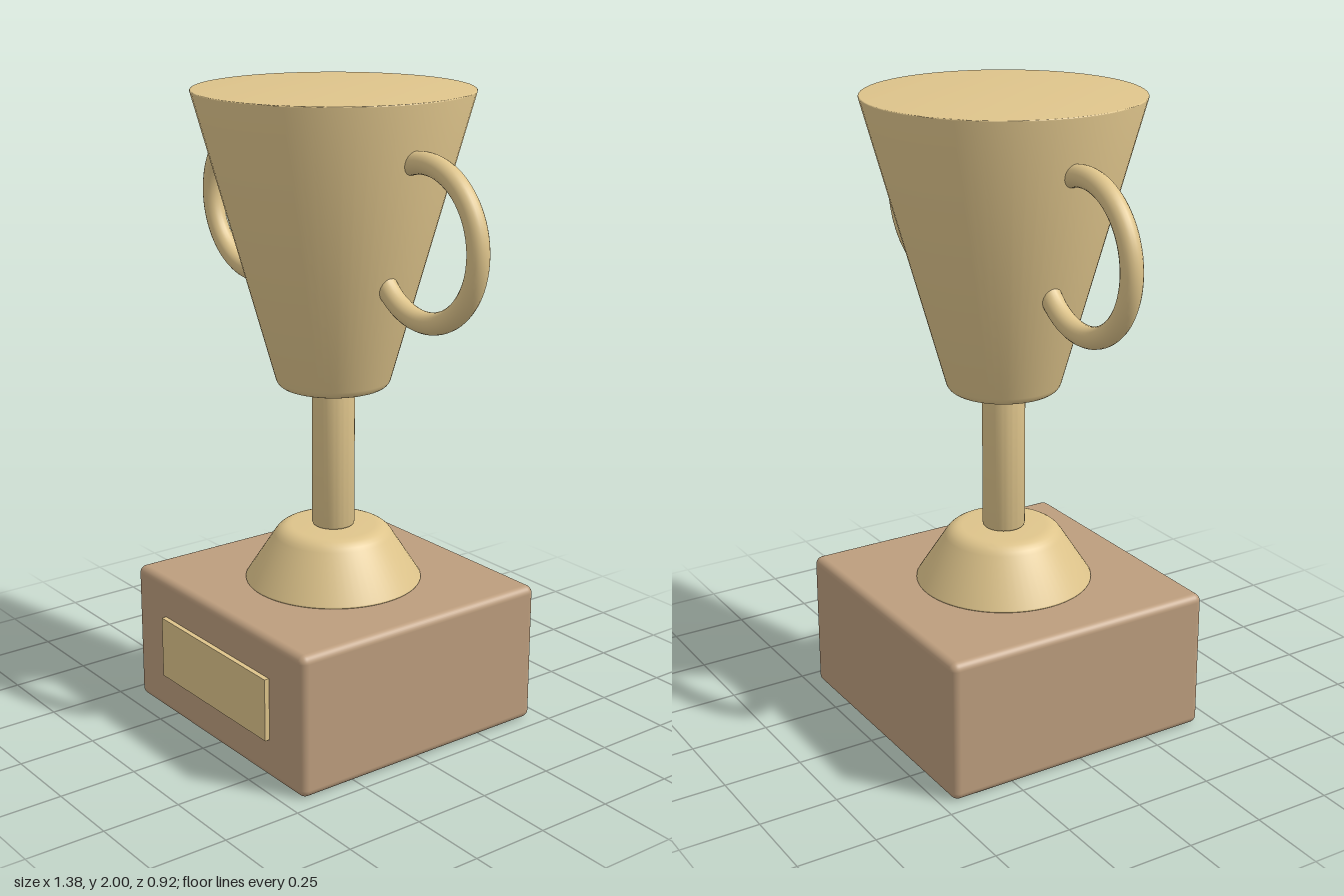
import * as THREE from 'three';
import { toCreasedNormals } from 'three/addons/utils/BufferGeometryUtils.js';
import { RoundedBoxGeometry } from 'three/addons/geometries/RoundedBoxGeometry.js';

const gold = new THREE.MeshStandardMaterial({ color: 0xdec48b });
gold.name = 'pale gold';
const wood = new THREE.MeshStandardMaterial({ color: 0xbc9d7d });
wood.name = 'brown wood';

// Solid truncated cone with rounded rims of radius r0 and r1
function turned(name, y0, r0, b0, y1, r1, b1) {
  const dir = new THREE.Vector2(r1 - r0, y1 - y0).normalize();
  const pts = [new THREE.Vector2(0, y0)];
  const rim = (ax, ay, cx, cy, bx, by) => {
    const curve = new THREE.QuadraticBezierCurve(
      new THREE.Vector2(ax, ay), new THREE.Vector2(cx, cy), new THREE.Vector2(bx, by));
    pts.push(...curve.getPoints(5));
  };
  rim(r0 - b0, y0, r0, y0, r0 + dir.x * b0, y0 + dir.y * b0);
  rim(r1 - dir.x * b1, y1 - dir.y * b1, r1, y1, r1 - b1, y1);
  pts.push(new THREE.Vector2(0, y1));
  const geometry = toCreasedNormals(new THREE.LatheGeometry(pts, 64), 0.6);
  const mesh = new THREE.Mesh(geometry, gold);
  mesh.name = name;
  return mesh;
}

export function createModel() {
  const model = new THREE.Group();
  model.name = 'trophy';
  const body = new THREE.Group();
  body.name = 'trophyBody';
  body.position.z = -0.008;
  model.add(body);

  // Square plinth with softened edges
  const base = new THREE.Mesh(new RoundedBoxGeometry(0.908, 0.455, 0.908, 4, 0.025), wood);
  base.name = 'base';
  base.position.y = 0.2275;
  body.add(base);

  // Blank plate on the front of the plinth
  const plaque = new THREE.Mesh(new THREE.BoxGeometry(0.57, 0.2, 0.03), gold);
  plaque.name = 'plaque';
  plaque.position.set(0, 0.23, 0.455);
  body.add(plaque);

  // Foot, stem and solid cup
  body.add(
    turned('foot', 0.455, 0.282, 0.008, 0.632, 0.168, 0.035),
    turned('stem', 0.632, 0.067, 0.013, 1.09, 0.067, 0.013),
    turned('cup', 1.09, 0.172, 0.025, 2.0, 0.426, 0.006),
  );

  // Ring handles whose open ends are buried in the cup
  const ring = new THREE.TorusGeometry(0.229, 0.033, 20, 64, Math.PI * 1.6);
  ring.rotateZ(-Math.PI * 0.8);
  for (const side of [1, -1]) {
    const handle = new THREE.Mesh(ring, gold);
    handle.name = side > 0 ? 'leftHandle' : 'rightHandle';
    handle.position.set(side * 0.428, 1.603, 0);
    if (side < 0) handle.rotation.y = Math.PI;
    body.add(handle);
  }
  return model;
}
